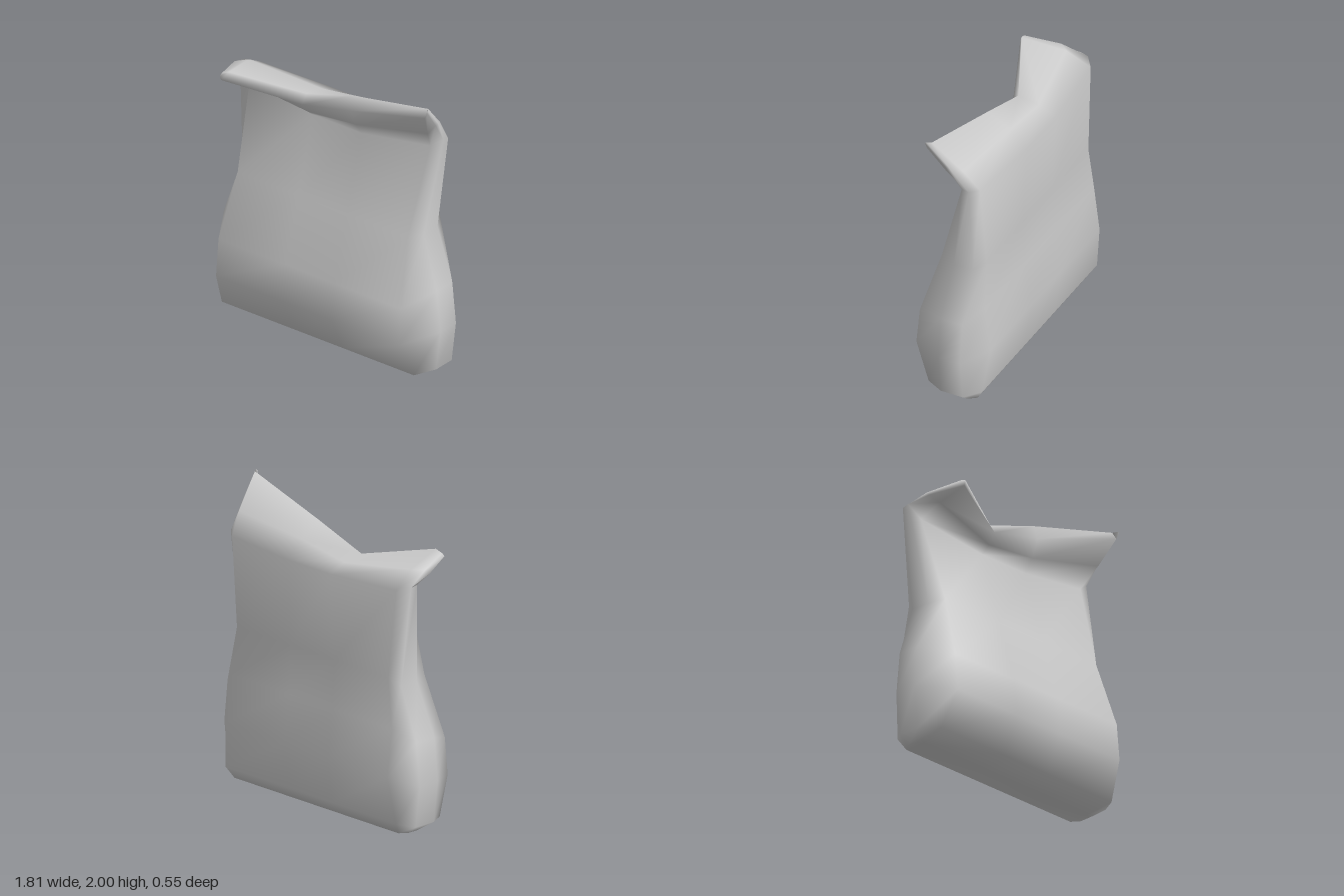
import * as THREE from 'three';

// Ring order: front left to right, right side, back right to left, left side.
const COLS = 12;

// Symmetric body ring: corner/inner/side half widths, then [y, z] of the front and back, and the side.
function bodyRing({ corner, side, front, back, sideY, sideZ }) {
  const inner = 0.2;
  const [fy, fz] = front, [by, bz] = back;
  return [
    [-corner, fy, fz], [-inner, fy, fz], [inner, fy, fz], [corner, fy, fz],
    [side, sideY, sideZ[0]], [side, sideY, sideZ[1]],
    [corner, by, bz], [inner, by, bz], [-inner, by, bz], [-corner, by, bz],
    [-side, sideY, sideZ[1]], [-side, sideY, sideZ[0]],
  ];
}

// Stitches the rings into a closed skin with smooth normals.
function skin(rings) {
  const index = [];
  const quad = (a, b, c, d) => index.push(a, b, c, a, c, d);
  for (let r = 0; r < rings.length - 1; r++) {
    for (let i = 0; i < COLS; i++) {
      const j = (i + 1) % COLS;
      quad(r * COLS + i, r * COLS + j, (r + 1) * COLS + j, (r + 1) * COLS + i);
    }
  }
  // caps join the front columns to the back columns
  const top = (rings.length - 1) * COLS;
  for (let k = 0; k < 5; k++) {
    const a = (k + 11) % COLS, b = k, c = 9 - k, d = 10 - k;
    quad(top + a, top + b, top + c, top + d);
    quad(d, c, b, a);
  }
  const geo = new THREE.BufferGeometry();
  geo.setAttribute('position', new THREE.Float32BufferAttribute(rings.flat(2), 3));
  geo.setIndex(index);
  geo.computeVertexNormals();
  return geo;
}

export function createModel() {
  const group = new THREE.Group();
  group.name = 'sack';

  // bulging body, pinched at the waist
  const body = [
    { corner: 0.76, side: 0.8, front: [0, -0.04], back: [0, -0.19], sideY: 0, sideZ: [-0.06, -0.14] },
    { corner: 0.79, side: 0.87, front: [0.04, 0.15], back: [0.08, -0.24], sideY: 0.055, sideZ: [0.02, -0.14] },
    { corner: 0.75, side: 0.905, front: [0.29, 0.26], back: [0.4, -0.28], sideY: 0.34, sideZ: [0.02, -0.14] },
    { corner: 0.75, side: 0.875, front: [0.55, 0.235], back: [0.72, -0.24], sideY: 0.63, sideZ: [0.02, -0.14] },
    { corner: 0.7, side: 0.745, front: [1.0, 0.1], back: [1.05, -0.225], sideY: 0.99, sideZ: [-0.01, -0.15] },
  ].map(bodyRing);

  // crease where the mouth starts to fold forward
  const crease = [
    [-0.74, 1.61, -0.08], [-0.2, 1.53, -0.05], [0.2, 1.53, -0.05], [0.74, 1.61, -0.08],
    [0.825, 1.67, -0.11], [0.825, 1.66, -0.16],
    [0.76, 1.65, -0.21], [0.2, 1.64, -0.255], [-0.2, 1.64, -0.255], [-0.76, 1.66, -0.21],
    [-0.835, 1.68, -0.15], [-0.84, 1.69, -0.1],
  ];
  // middle of the folded flap
  const flap = [
    [-0.73, 1.68, 0.08], [-0.2, 1.58, 0.01], [0.2, 1.62, 0.01], [0.8, 1.76, 0.02],
    [0.85, 1.83, 0], [0.85, 1.83, -0.03],
    [0.8, 1.79, -0.11], [0.2, 1.75, -0.13], [-0.2, 1.69, -0.13], [-0.73, 1.755, -0.05],
    [-0.79, 1.75, 0.02], [-0.8, 1.72, 0.05],
  ];
  // thin lip at the end of the flap
  const lip = [
    [-0.7, 1.75, 0.27], [-0.2, 1.65, 0.06], [0.2, 1.74, 0.06], [0.86, 1.94, 0.125],
    [0.88, 1.99, 0.13], [0.88, 2.0, 0.12],
    [0.86, 1.995, 0.09], [0.2, 1.84, 0.03], [-0.2, 1.715, 0.02], [-0.66, 1.81, 0.24],
    [-0.71, 1.79, 0.25], [-0.72, 1.77, 0.26],
  ];

  const material = new THREE.MeshStandardMaterial({ color: 0xcccccc });
  const sack = new THREE.Mesh(skin([...body, crease, flap, lip]), material);
  sack.name = 'foldedSack';
  group.add(sack);
  return group;
}
